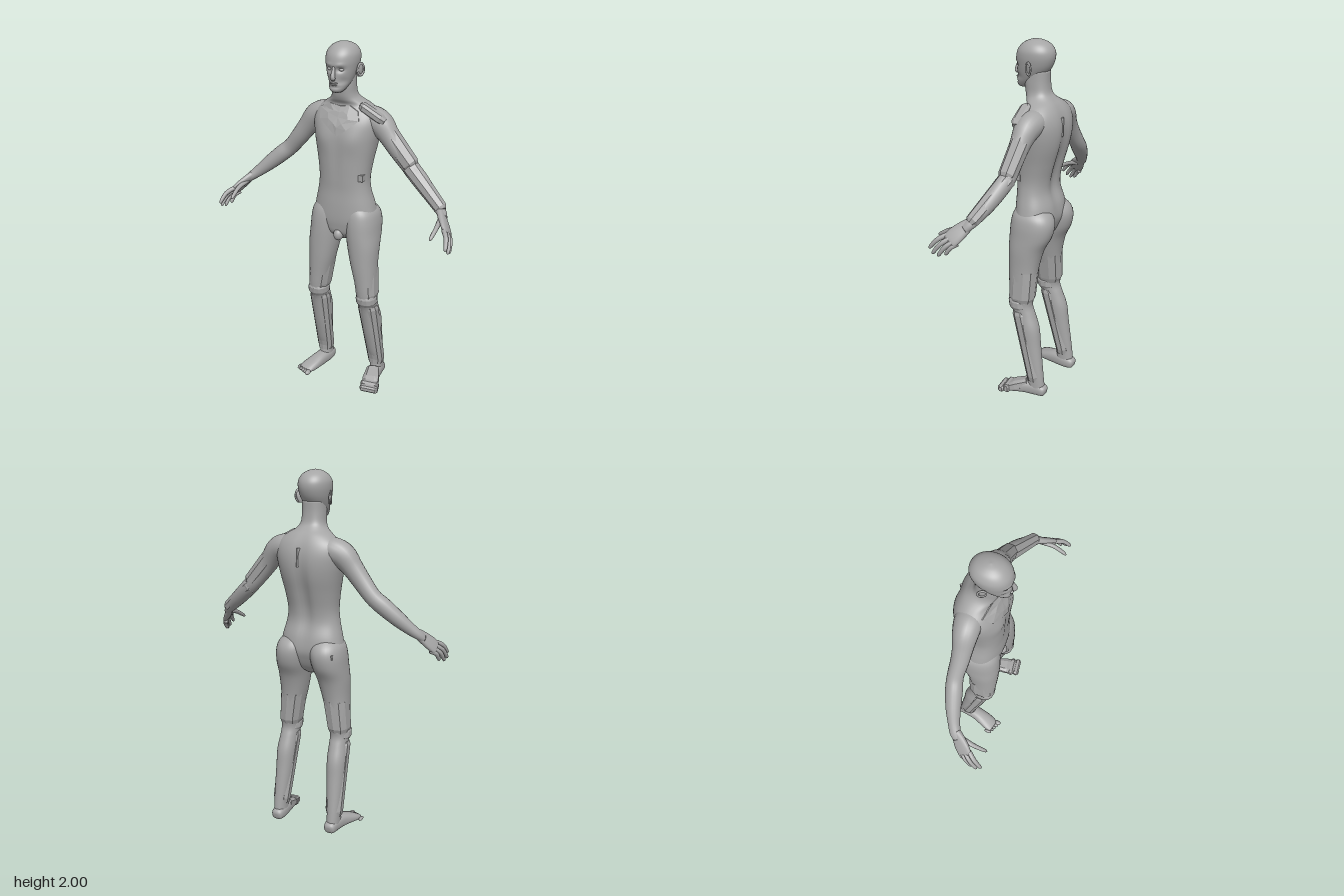
import * as THREE from 'three';

const V = (x, y, z) => new THREE.Vector3(x, y, z);
const spow = (t, p) => Math.sign(t) * Math.pow(Math.abs(t), p);
const bump = (d, w) => Math.exp(-(d * d) / (w * w));

// Smoothly resample rows of numbers (Catmull-Rom on every column)
function resample(rows, k) {
  const out = [], at = i => rows[Math.max(0, Math.min(rows.length - 1, i))];
  for (let i = 0; i < rows.length - 1; i++) {
    for (let j = 0; j < k; j++) {
      const t = j / k, [p, q, r, s] = [at(i - 1), at(i), at(i + 1), at(i + 2)];
      out.push(q.map((b, c) => b + 0.5 * t * (r[c] - p[c] + t * (2 * p[c] - 5 * b + 4 * r[c] - s[c]
        + t * (3 * (b - r[c]) + s[c] - p[c])))));
    }
  }
  out.push(at(rows.length));
  return out;
}

// Closed skin over a list of rings, always facing outward
function skin(rings, flat) {
  const n = rings[0].length, pts = rings.flat(), idx = [];
  for (let i = 0; i < rings.length - 1; i++) {
    for (let j = 0; j < n; j++) {
      const a = i * n + j, b = i * n + (j + 1) % n;
      idx.push(a, a + n, b, b, a + n, b + n);
    }
  }
  [[0, false], [rings.length - 1, true]].forEach(([i, end]) => {
    const c = pts.length;
    pts.push(rings[i].reduce((s, p) => s.add(p), V(0, 0, 0)).divideScalar(n));
    for (let j = 0; j < n; j++) {
      const a = i * n + j, b = i * n + (j + 1) % n;
      if (end) idx.push(c, b, a); else idx.push(c, a, b);
    }
  });
  let volume = 0;
  const mid = pts[pts.length - 1];
  for (let i = 0; i < idx.length; i += 3) {
    const [a, b, c] = [0, 1, 2].map(k => pts[idx[i + k]].clone().sub(mid));
    volume += a.dot(b.cross(c));
  }
  if (volume < 0) idx.reverse();
  let g = new THREE.BufferGeometry().setFromPoints(pts);
  g.setIndex(idx);
  if (flat) g = g.toNonIndexed();
  g.computeVertexNormals();
  return g;
}

// Stack of level sections: [y, centre x, half width, front z, back z]
function stack(rows, { side = 1, seg = 36, steps = 5, n = 2.2, flat = false, shape } = {}) {
  return skin(resample(rows, steps).map(([y, x, hx, zf, zb]) => Array.from({ length: seg }, (_, j) => {
    const a = (j + 0.5) / seg * Math.PI * 2;
    const p = V(side * (x + hx * spow(Math.cos(a), 2 / n)), y, (zf + zb) / 2 + (zf - zb) / 2 * spow(Math.sin(a), 2 / n));
    if (shape) shape(p, (zf + zb) / 2);
    return p;
  })), flat);
}

// Limb along a path: [x, y, z, half size along ref, half size across]
function limb(rows, { side = 1, seg = 20, steps = 5, n = 2, flat = false, ref = V(0, 0, 1) } = {}) {
  const r = resample(rows, steps), pos = r.map(q => V(q[0], q[1], q[2]));
  return skin(r.map((q, i) => {
    const t = pos[Math.min(i + 1, r.length - 1)].clone().sub(pos[Math.max(i - 1, 0)]).normalize();
    const u = ref.clone().addScaledVector(t, -ref.dot(t)).normalize(), v = t.clone().cross(u);
    return Array.from({ length: seg }, (_, j) => {
      const a = (j + 0.5) / seg * Math.PI * 2;
      const p = pos[i].clone().addScaledVector(u, q[3] * spow(Math.cos(a), 2 / n)).addScaledVector(v, q[4] * spow(Math.sin(a), 2 / n));
      p.x *= side;
      return p;
    });
  }), flat);
}

export function createModel() {
  const model = new THREE.Group();
  const grey = new THREE.MeshStandardMaterial({ color: 0xa6a6a6 });
  const add = (name, geo) => {
    const m = new THREE.Mesh(geo, grey);
    m.name = name;
    model.add(m);
    return m;
  };
  const ball = (name, x, y, z, rx, ry, rz) => {
    const m = add(name, new THREE.SphereGeometry(1, 20, 14));
    m.position.set(x, y, z);
    m.scale.set(rx, ry, rz);
    return m;
  };

  // Torso and neck, with spine groove, chest and belly relief
  const torso = [
    [0.91, 0, 0.03, 0, -0.09], [0.95, 0, 0.11, 0.04, -0.125], [1.0, 0, 0.17, 0.053, -0.15],
    [1.05, 0, 0.184, 0.058, -0.165], [1.12, 0, 0.172, 0.058, -0.16], [1.2, 0, 0.152, 0.055, -0.138],
    [1.27, 0, 0.145, 0.058, -0.142], [1.36, 0, 0.155, 0.062, -0.165], [1.45, 0, 0.172, 0.064, -0.19],
    [1.52, 0, 0.185, 0.06, -0.2], [1.58, 0, 0.19, 0.046, -0.197], [1.63, 0, 0.175, 0.022, -0.182],
    [1.67, 0, 0.13, 0.002, -0.158], [1.7, 0, 0.084, 0.018, -0.13], [1.73, 0, 0.066, 0.028, -0.108],
    [1.78, 0, 0.062, 0.035, -0.1], [1.84, 0, 0.06, 0.03, -0.1]];
  add('torso', stack(torso, {
    seg: 56, n: 2.3, shape: (p, mid) => {
      const back = p.z < mid;
      if (back) p.z += 0.022 * bump(p.x, 0.035) * bump(p.y - 1.35, 0.24);
      else {
        p.z += 0.008 * bump(Math.abs(p.x) - 0.085, 0.05) * bump(p.y - 1.49, 0.06);
        p.z -= 0.006 * bump(p.x, 0.02) * bump(p.y - 1.42, 0.15);
      }
    }
  }));
  const fine = resample(torso, 12);
  const chestZ = (x, y) => {
    const r = fine.reduce((a, b) => Math.abs(b[0] - y) < Math.abs(a[0] - y) ? b : a);
    return (r[3] + r[4]) / 2 + (r[3] - r[4]) / 2 * Math.pow(Math.max(0, 1 - Math.pow(Math.abs(x) / r[2], 2.3)), 1 / 2.3);
  };
  ball('groin', 0, 0.945, 0.035, 0.028, 0.035, 0.03);

  // Faceted breast plate
  const rim = [[0, 1.512], [0.055, 1.55], [0.115, 1.6], [0.1, 1.645], [0.05, 1.672], [0, 1.665], [-0.07, 1.672], [-0.135, 1.645], [-0.115, 1.59], [-0.055, 1.555]];
  const onChest = ([x, y], lift) => V(x, y, chestZ(x, y) + lift);
  add('breastPlate', skin([rim.map(p => onChest(p, -0.012)), rim.map(p => onChest(p, 0.005)),
    rim.map(([x, y]) => onChest([x * 0.5, 1.61 + (y - 1.61) * 0.5], 0.008))], true));

  // Small fittings
  const box = (name, x, y, z, w, h, d) => add(name, new THREE.BoxGeometry(w, h, d)).position.set(x, y, z);
  box('waistNub', 0.128, 1.288, chestZ(0.128, 1.288) - 0.005, 0.03, 0.036, 0.035);
  box('hipNub', -0.165, 1.035, -0.135, 0.02, 0.025, 0.05);
  add('backPlate', limb([[0.02, 1.61, -0.177, 0.026, 0.012], [0.02, 1.51, -0.182, 0.015, 0.012]],
    { seg: 4, steps: 1, flat: true, ref: V(1, 0, 0.9) }));
  add('shoulderStrap', limb([[0.1, 1.67, -0.03, 0.02, 0.018], [0.115, 1.665, -0.03, 0.032, 0.024],
    [0.21, 1.612, -0.04, 0.036, 0.024], [0.232, 1.597, -0.045, 0.025, 0.02]], { seg: 8, steps: 1, n: 2.6, flat: true }));

  // Head with eye sockets, brow and cheeks
  add('head', stack([
    [1.748, 0, 0.022, 0.07, 0.02], [1.758, 0, 0.036, 0.082, 0], [1.78, 0, 0.05, 0.085, -0.035],
    [1.805, 0, 0.061, 0.082, -0.065], [1.835, 0, 0.071, 0.082, -0.093], [1.87, 0, 0.08, 0.083, -0.115],
    [1.91, 0, 0.086, 0.084, -0.127], [1.945, 0, 0.083, 0.074, -0.123], [1.975, 0, 0.064, 0.048, -0.1],
    [1.993, 0, 0.034, 0.014, -0.062], [2, 0, 0.002, -0.022, -0.026]], {
    seg: 72, steps: 6, n: 2.1, shape: p => {
      if (p.z < 0) return;
      const ax = Math.abs(p.x);
      p.z -= 0.014 * bump(ax - 0.033, 0.018) * bump(p.y - 1.868, 0.013);
      p.z += 0.005 * bump(ax - 0.03, 0.026) * bump(p.y - 1.892, 0.009);
      p.z -= 0.008 * bump(ax - 0.045, 0.02) * bump(p.y - 1.808, 0.02);
      p.z -= 0.005 * bump(p.x, 0.03) * bump(p.y - 1.778, 0.007);
    }
  }));
  add('nose', limb([[0, 1.885, 0.08, 0.006, 0.006], [0, 1.86, 0.085, 0.009, 0.01], [0, 1.838, 0.092, 0.012, 0.012],
    [0, 1.825, 0.093, 0.015, 0.011], [0, 1.817, 0.086, 0.01, 0.006]], { seg: 14, ref: V(1, 0, 0) }));
  ball('upperLip', 0, 1.8, 0.082, 0.022, 0.005, 0.009);
  ball('lowerLip', 0, 1.791, 0.081, 0.019, 0.005, 0.009);
  for (const s of [1, -1]) {
    ball('eye', s * 0.033, 1.868, 0.061, 0.014, 0.008, 0.011);
    const ear = ball('ear', s * 0.09, 1.856, -0.03, 0.008, 0.035, 0.02);
    ear.rotation.set(-0.2, s * -0.45, s * -0.2);
    const earRim = add('earRim', new THREE.TorusGeometry(0.02, 0.005, 8, 20));
    earRim.position.set(s * 0.096, 1.86, -0.032);
    earRim.rotation.set(0, s * 1.1, 0);
    earRim.scale.y = 1.5;
  }

  for (const s of [1, -1]) {
    const S = s > 0 ? 'left' : 'right', o = { side: s };
    // Arm and hand
    add(S + 'Arm', limb([
      [0.1, 1.61, -0.085, 0.07, 0.055], [0.15, 1.595, -0.085, 0.072, 0.068], [0.2, 1.568, -0.08, 0.066, 0.068],
      [0.25, 1.51, -0.075, 0.054, 0.056], [0.3, 1.447, -0.073, 0.048, 0.05], [0.365, 1.372, -0.075, 0.043, 0.045],
      [0.42, 1.325, -0.062, 0.045, 0.046], [0.49, 1.265, -0.04, 0.04, 0.041], [0.55, 1.213, -0.015, 0.032, 0.032],
      [0.59, 1.18, 0.008, 0.03, 0.025], [0.61, 1.16, 0.03, 0.028, 0.018]], o));
    add(S + 'Palm', limb([[0.583, 1.188, 0.004, 0.027, 0.02], [0.605, 1.163, 0.03, 0.036, 0.019],
      [0.635, 1.13, 0.06, 0.044, 0.017], [0.658, 1.104, 0.083, 0.043, 0.013], [0.663, 1.098, 0.088, 0.036, 0.007]],
    { side: s, n: 2.4, ref: V(0, 0.4, 0.92) }));
    // Knuckle and tip of each finger
    [[0.652, 1.122, 0.112, 0.69, 1.05, 0.188], [0.66, 1.107, 0.092, 0.697, 1.027, 0.165],
      [0.66, 1.094, 0.07, 0.692, 1.018, 0.135], [0.65, 1.085, 0.05, 0.676, 1.028, 0.1],
      [0.6, 1.155, 0.045, 0.606, 1.093, 0.188]].forEach(([a, b, c, d, e, f], i) => {
      const at = (t, r) => [a + (d - a) * t + 0.008 * Math.sin(t * Math.PI), b + (e - b) * t + 0.01 * Math.sin(t * Math.PI), c + (f - c) * t, r, r];
      add(S + (i === 4 ? 'Thumb' : 'Finger'), limb([at(-0.1, 0.012), at(0.2, 0.013), at(0.5, 0.012), at(0.85, 0.01), at(0.96, 0.007), at(1, 0.002)], { side: s, seg: 12, steps: 3 }));
    });

    // Leg
    add(S + 'Leg', stack([
      [1.12, 0.09, 0.06, 0.03, -0.13], [1.08, 0.1, 0.085, 0.05, -0.172], [1.03, 0.105, 0.094, 0.06, -0.188],
      [0.96, 0.112, 0.092, 0.064, -0.175], [0.88, 0.122, 0.086, 0.064, -0.135], [0.78, 0.132, 0.074, 0.061, -0.11],
      [0.68, 0.145, 0.062, 0.055, -0.1], [0.6, 0.154, 0.055, 0.05, -0.093], [0.55, 0.157, 0.051, 0.042, -0.088],
      [0.5, 0.158, 0.05, 0.022, -0.105], [0.42, 0.162, 0.053, 0.004, -0.133], [0.32, 0.165, 0.049, -0.018, -0.145],
      [0.2, 0.17, 0.042, -0.052, -0.16], [0.12, 0.173, 0.036, -0.078, -0.17], [0.05, 0.173, 0.036, -0.07, -0.178]], o));
    // Faceted thigh and shin shells, knee rim
    add(S + 'ThighShell', stack([[0.76, 0.135, 0.071, 0.048, -0.108], [0.6, 0.154, 0.061, 0.05, -0.101], [0.575, 0.155, 0.054, 0.045, -0.09]],
      { side: s, seg: 10, steps: 1, n: 2.4, flat: true }));
    add(S + 'KneeRim', stack([[0.595, 0.156, 0.05, 0.046, -0.06], [0.575, 0.156, 0.059, 0.053, -0.075], [0.545, 0.157, 0.059, 0.048, -0.08], [0.525, 0.157, 0.048, 0.034, -0.07]],
      { side: s, seg: 14, steps: 1, flat: true }));
    add(S + 'ShinShell', stack([[0.52, 0.158, 0.054, 0.02, -0.07], [0.5, 0.159, 0.06, 0.022, -0.08], [0.13, 0.172, 0.05, -0.073, -0.158], [0.1, 0.172, 0.043, -0.075, -0.155]],
      { side: s, seg: 10, steps: 1, n: 2.3, flat: true }));
    // Foot and toes
    add(S + 'Foot', limb([
      [0.172, 0.034, -0.19, 0.014, 0.012], [0.172, 0.036, -0.178, 0.032, 0.03], [0.172, 0.042, -0.13, 0.039, 0.04],
      [0.182, 0.042, -0.06, 0.041, 0.039], [0.198, 0.033, 0, 0.046, 0.03], [0.212, 0.025, 0.04, 0.046, 0.022],
      [0.219, 0.019, 0.068, 0.04, 0.013]], { side: s, n: 2.5, ref: V(1, 0, 0) }));
    if (s < 0) {
      for (let i = 0; i < 5; i++) {
        const r = i ? 0.0105 : 0.015;
        ball('rightToe', -(0.187 + 0.019 * i), 0.017, 0.082 - 0.009 * i, r, r * 0.95, 0.024);
      }
    }
  }

  // Faceted shells on the left arm
  const prism = { seg: 8, steps: 1, flat: true };
  add('upperArmShell', limb([[0.213, 1.558, -0.078, 0.04, 0.04], [0.228, 1.54, -0.077, 0.054, 0.057],
    [0.37, 1.38, -0.073, 0.048, 0.05], [0.383, 1.365, -0.073, 0.036, 0.038]], prism));
  add('forearmShell', limb([[0.362, 1.373, -0.078, 0.036, 0.036], [0.378, 1.36, -0.074, 0.048, 0.047],
    [0.582, 1.197, -0.002, 0.036, 0.036], [0.594, 1.187, 0.005, 0.025, 0.025]], prism));

  // Blocky left toes and instep
  add('leftInstep', limb([[0.175, 0.065, -0.075, 0.038, 0.03], [0.196, 0.043, -0.005, 0.05, 0.028], [0.205, 0.03, 0.025, 0.05, 0.022]],
    { seg: 8, steps: 1, n: 3, flat: true, ref: V(1, 0, 0) }));
  for (const [x, z, h] of [[0.206, 0.034, 0.052], [0.216, 0.066, 0.04]]) {
    add('leftToeSlab', limb([[x - 0.05, h / 2 + 0.002, z + 0.006, 0.01, h * 0.35], [x - 0.04, h / 2 + 0.002, z + 0.006, 0.02, h / 2],
      [x + 0.045, h / 2 + 0.002, z - 0.006, 0.02, h / 2], [x + 0.055, h / 2 + 0.002, z - 0.008, 0.01, h * 0.35]],
    { seg: 8, steps: 1, n: 2.6, flat: true }));
  }
  return model;
}
